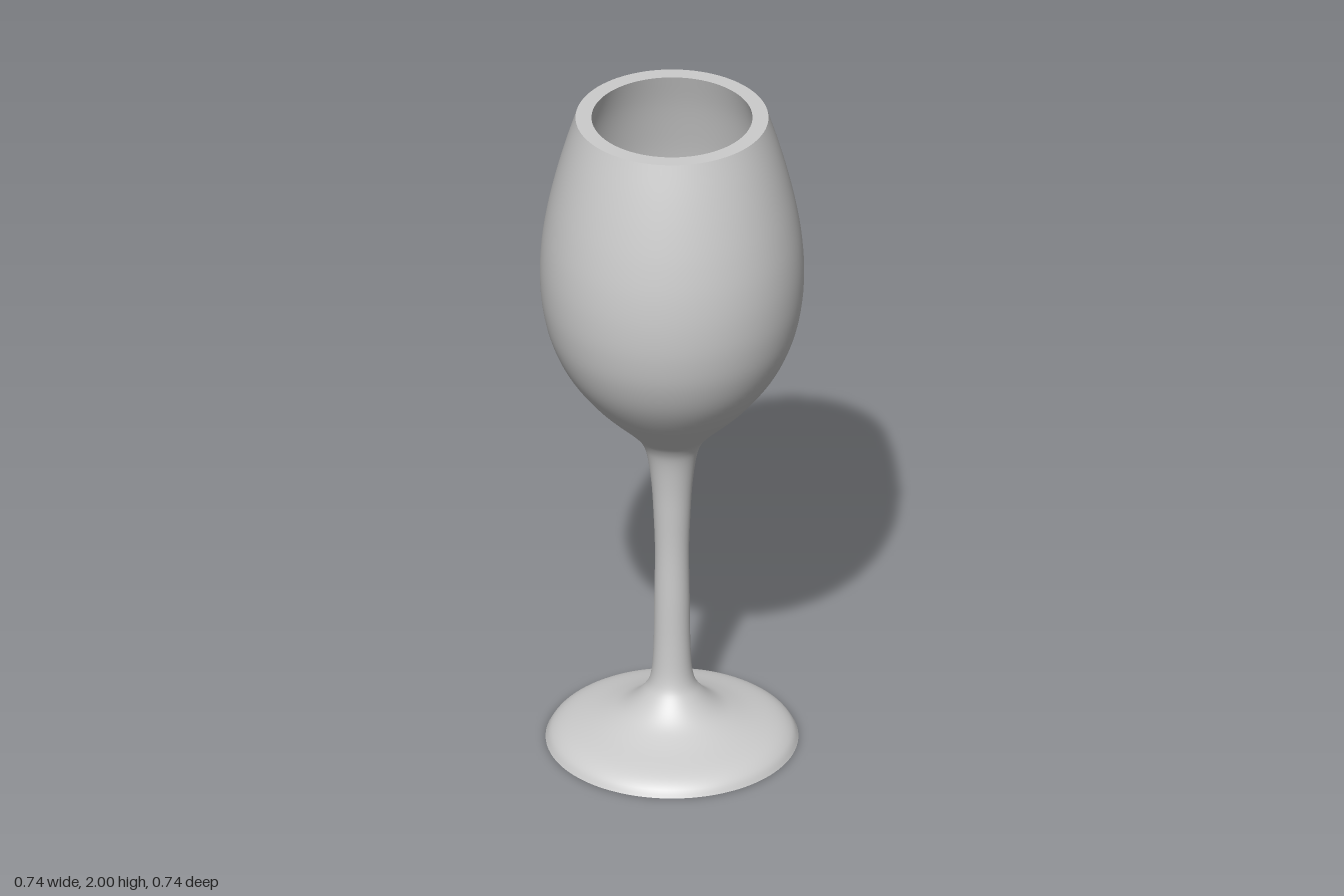
import * as THREE from 'three';

const SIDES = 96;
const material = new THREE.MeshStandardMaterial({ color: 0xcccccc });

// Smooth curve through [radius, height] points
function smooth(points, steps) {
  const curve = new THREE.SplineCurve(points.map(([r, y]) => new THREE.Vector2(r, y)));
  return curve.getPoints(steps).map((p) => new THREE.Vector2(Math.max(p.x, 0), Math.max(p.y, 0)));
}

function turned(name, profile) {
  const mesh = new THREE.Mesh(new THREE.LatheGeometry(profile, SIDES), material);
  mesh.name = name;
  return mesh;
}

export function createModel() {
  const group = new THREE.Group();
  group.name = 'wineGlass';

  // Hollow underside of the foot, from the axis out to the edge
  group.add(turned('footUnderside', smooth([
    [0, 0.24], [0.02, 0.22], [0.045, 0.165], [0.08, 0.115], [0.13, 0.08],
    [0.2, 0.05], [0.28, 0.024], [0.33, 0.006], [0.355, 0],
  ], 40)));

  // Outside: foot, stem and bowl in one flowing line
  group.add(turned('footStemAndBowl', smooth([
    [0.355, 0], [0.337, 0.025], [0.295, 0.048], [0.2, 0.075], [0.135, 0.103],
    [0.085, 0.15], [0.06, 0.2], [0.052, 0.3], [0.05, 0.45], [0.048, 0.6],
    [0.052, 0.72], [0.058, 0.82], [0.07, 0.91], [0.088, 0.96], [0.125, 1.005],
    [0.22, 1.1], [0.295, 1.2], [0.341, 1.3], [0.364, 1.4], [0.371, 1.5],
    [0.366, 1.6], [0.351, 1.7], [0.329, 1.8], [0.302, 1.9], [0.271, 2],
  ], 120)));

  // Flat lip
  group.add(turned('bowlRim', [new THREE.Vector2(0.271, 2), new THREE.Vector2(0.226, 2)]));

  // Inside of the bowl, from the lip down to the axis
  group.add(turned('bowlInside', smooth([
    [0.226, 2], [0.258, 1.9], [0.284, 1.8], [0.306, 1.7], [0.321, 1.6],
    [0.326, 1.5], [0.32, 1.41], [0.298, 1.31], [0.257, 1.22], [0.188, 1.13],
    [0.1, 1.045], [0.05, 1.012], [0, 1],
  ], 60)));

  return group;
}
